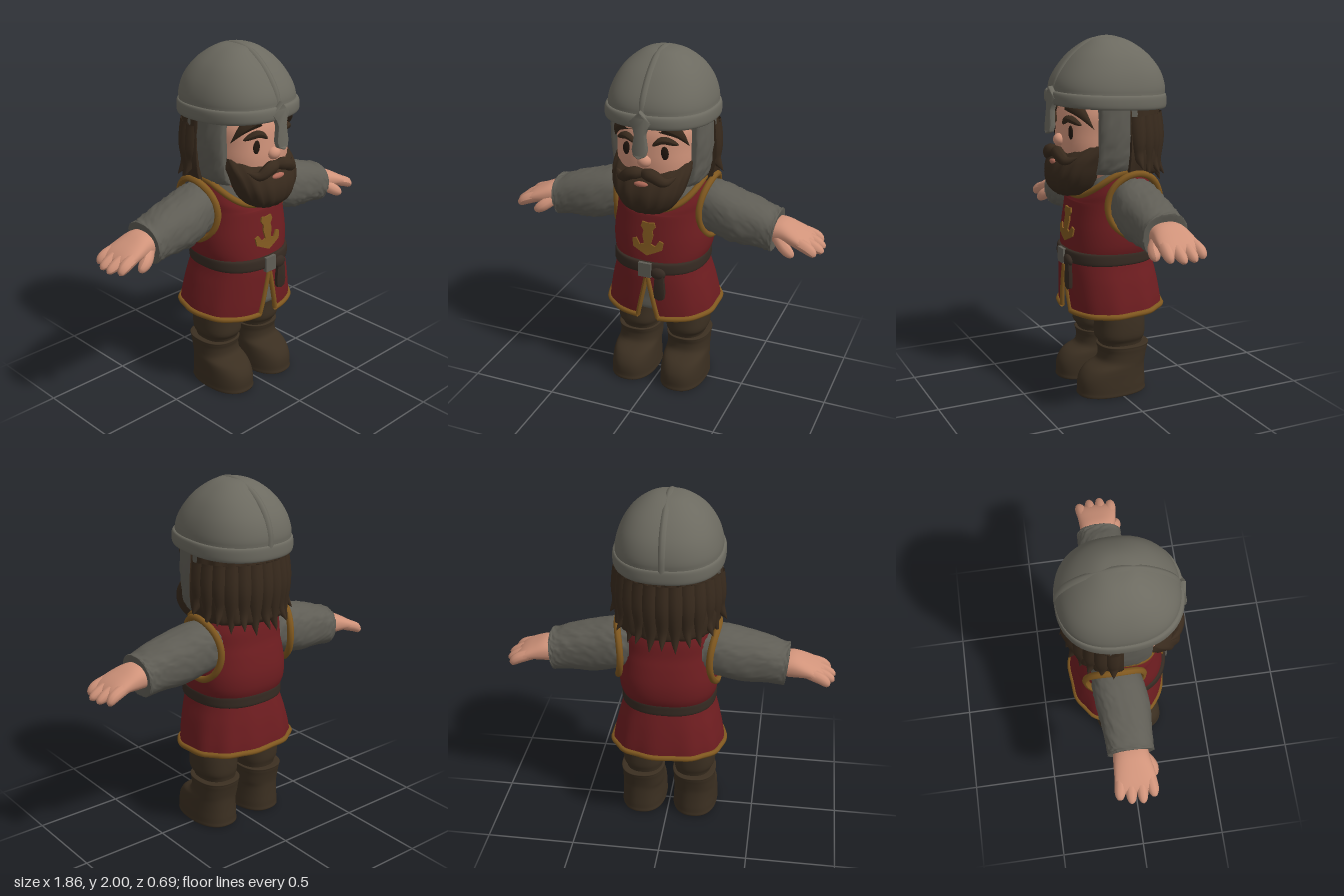
import * as THREE from 'three';
import { mergeVertices, toCreasedNormals } from 'three/addons/utils/BufferGeometryUtils.js';

const V = (x, y, z) => new THREE.Vector3(x, y, z);
const mat = (name, color) => Object.assign(new THREE.MeshStandardMaterial({ color, side: THREE.DoubleSide }), { name });

// Rounded-box cross-section point; angle 0 is the front, growing towards +x
function ring([y, cx, rx, zf, zb], a) {
  const s = Math.sin(a), c = Math.cos(a), e = 0.85;
  return V(cx + rx * Math.sign(s) * Math.abs(s) ** e, y,
    (zf + zb) / 2 + (zf - zb) / 2 * Math.sign(c) * Math.abs(c) ** e);
}

// Smooth skin over sections [height, centre x, half width, front z, back z, front gap angle]
function loft(rows, { n = 40, sub = 4, warp } = {}) {
  const fine = [], at = i => rows[Math.min(Math.max(i, 0), rows.length - 1)];
  for (let i = 0; i < rows.length - 1; i++) for (let k = 0; k < sub; k++) {
    const t = k / sub;
    fine.push(rows[i].map((p1, j) => {
      const p0 = at(i - 1)[j], p2 = at(i + 1)[j], p3 = at(i + 2)[j];
      return p1 + 0.5 * t * (p2 - p0 + t * (2 * p0 - 5 * p1 + 4 * p2 - p3 + t * (3 * (p1 - p2) + p3 - p0)));
    }));
  }
  fine.push(at(rows.length));
  const pos = [], idx = [];
  fine.forEach((r, i) => {
    const gap = r[5] || 0;
    for (let j = 0; j <= n; j++) {
      const a = gap + (2 * Math.PI - 2 * gap) * j / n, p = ring([r[0], r[1], Math.max(r[2], 0), r[3], r[4]], a);
      if (warp) warp(p, a);
      pos.push(p.x, p.y, p.z);
      if (i && j) {
        const d = i * (n + 1) + j, b = d - n - 1;
        idx.push(b - 1, b, d, b - 1, d, d - 1);
      }
    }
  });
  let g = new THREE.BufferGeometry();
  g.setAttribute('position', new THREE.Float32BufferAttribute(pos, 3));
  g.setIndex(idx);
  g = mergeVertices(g, 1e-5);
  g.computeVertexNormals();
  return g;
}

// Tube through points whose thickness follows a profile
function taper(pts, r, prof = u => Math.sin(Math.PI * u) ** 0.6) {
  const curve = new THREE.CatmullRomCurve3(pts.map(p => V(...p)));
  const g = new THREE.TubeGeometry(curve, 18, r, 10), p = g.attributes.position;
  for (let i = 0; i < p.count; i++) {
    const u = Math.floor(i / 11) / 18, c = curve.getPointAt(u);
    const v = V().fromBufferAttribute(p, i).sub(c).multiplyScalar(Math.max(prof(u), 0.001)).add(c);
    p.setXYZ(i, v.x, v.y, v.z);
  }
  g.computeVertexNormals();
  return g;
}
const cord = (pts, r, closed = false) =>
  new THREE.TubeGeometry(new THREE.CatmullRomCurve3(pts, closed), 90, r, 8, closed);
const ball = (x, y, z, rx, ry, rz) => new THREE.SphereGeometry(1, 20, 14).scale(rx, ry, rz).translate(x, y, z);

// Symmetric plate from one half outline, running top to bottom
function plate(half, depth, bevel = 0) {
  const pts = [...half, ...half.slice().reverse().map(([x, y]) => [-x, y])];
  const shape = new THREE.Shape(pts.map(([x, y]) => new THREE.Vector2(x, y)));
  return new THREE.ExtrudeGeometry(shape, { depth, bevelEnabled: bevel > 0, bevelSize: bevel, bevelThickness: bevel, bevelSegments: 2 });
}
function bend(g, f) {
  const p = g.attributes.position;
  for (let i = 0; i < p.count; i++) p.setZ(i, p.getZ(i) + f(p.getX(i), p.getY(i)));
  return toCreasedNormals(g, 0.6);
}
function mirror(g) {
  const m = g.clone().scale(-1, 1, 1), ix = m.index.array;
  for (let i = 0; i < ix.length; i += 3) [ix[i], ix[i + 1]] = [ix[i + 1], ix[i]];
  m.computeVertexNormals();
  return m;
}
// Small bumps for chain mail
function mailBumps(p) {
  const h = Math.sin(p.x * 127.1 + p.y * 311.7 + p.z * 74.7) * 437.5, k = (h - Math.floor(h) - 0.5) * 0.008;
  p.x += k; p.z += k;
}

export function createModel() {
  const root = new THREE.Group();
  root.name = 'bearded guard';
  const steel = mat('steel', 0x6c6a60), mail = mat('chain mail', 0x5f5d55), skin = mat('skin', 0xd0937a);
  const red = mat('red cloth', 0x6e1d20), gold = mat('gold trim', 0x80581f), hair = mat('hair', 0x382a1d);
  const leather = mat('boot leather', 0x3b2f21), strap = mat('belt leather', 0x352a22);
  const dark = mat('eye', 0x21170f), lip = mat('lip', 0xb06a58);
  const add = (name, g, m) => {
    const o = new THREE.Mesh(g, m);
    o.name = name;
    root.add(o);
  };
  const pair = (name, g, m) => { add(name + 'Left', g, m); add(name + 'Right', mirror(g), m); };

  // Legs and boots
  pair('boot', loft([[0, 0.155, 0, 0.02, 0.02], [0, 0.155, 0.12, 0.21, -0.16], [0.03, 0.155, 0.13, 0.225, -0.175],
    [0.1, 0.155, 0.128, 0.22, -0.172], [0.155, 0.155, 0.125, 0.18, -0.17], [0.19, 0.153, 0.122, 0.105, -0.172],
    [0.24, 0.153, 0.122, 0.092, -0.182], [0.275, 0.153, 0.125, 0.1, -0.19], [0.287, 0.153, 0.115, 0.09, -0.18],
    [0.285, 0.15, 0, -0.04, -0.04]]), leather);
  pair('trouserLeg', loft([[0.25, 0.145, 0.1, 0.08, -0.15], [0.3, 0.145, 0.108, 0.092, -0.16], [0.34, 0.15, 0.122, 0.115, -0.17],
    [0.42, 0.15, 0.122, 0.115, -0.172], [0.5, 0.145, 0.12, 0.12, -0.17], [0.6, 0.14, 0.12, 0.12, -0.17]]), leather);

  // Mail shirt showing at slit, hem and neck
  add('mailSkirt', loft([[0.53, 0, 0, 0, 0], [0.51, 0, 0.28, 0.2, -0.27], [0.6, 0, 0.27, 0.21, -0.27],
    [0.78, 0, 0.23, 0.21, -0.23]], { n: 72, warp: mailBumps }), mail);
  add('mailCollar', loft([[1.0, 0, 0.22, 0.17, -0.2], [1.15, 0, 0.235, 0.165, -0.2], [1.24, 0, 0.215, 0.15, -0.19],
    [1.31, 0, 0.17, 0.12, -0.16], [1.34, 0, 0, 0, 0]], { n: 72, warp: mailBumps }), mail);

  // Tunic: split skirt and body with a scooped neck
  const tilt = p => { p.y -= p.z * 0.05 * (0.8 - p.y) / 0.3; };
  const skirtRows = [[0.49, 0, 0.32, 0.235, -0.305, 0.14], [0.56, 0, 0.31, 0.24, -0.3, 0.1],
    [0.66, 0, 0.288, 0.242, -0.285, 0.045], [0.74, 0, 0.265, 0.242, -0.268, 0.004], [0.81, 0, 0.25, 0.235, -0.25, 0]];
  const folds = (p, a) => {
    const k = 1 + 0.014 * Math.sin(11 * a) * Math.sin(a / 2) * (0.81 - p.y) / 0.3;
    p.x *= k; p.z *= k; tilt(p);
  };
  add('tunicSkirt', loft(skirtRows, { n: 72, warp: folds }), red);
  const edge = (r, a) => { const p = ring(r, a); folds(p, a); return p; };
  const hem = [];
  for (let i = 0; i <= 44; i++) hem.push(edge(skirtRows[0], 0.14 + (2 * Math.PI - 0.28) * i / 44));
  add('hemTrim', cord(hem, 0.016), gold);
  pair('slitTrim', cord(skirtRows.slice(0, 4).map(r => edge(r, r[5] + 0.004)), 0.014), gold);

  const scoop = (p, a) => {
    p.y -= 0.15 * Math.max(0, Math.cos(a)) ** 1.5 * Math.max(0, (p.y - 1.1) / 0.18);
  };
  const bodyRows = [[0.79, 0, 0.25, 0.235, -0.25], [0.86, 0, 0.275, 0.232, -0.28], [0.95, 0, 0.28, 0.224, -0.285],
    [1.05, 0, 0.268, 0.21, -0.268], [1.12, 0, 0.262, 0.2, -0.25], [1.2, 0, 0.262, 0.192, -0.238], [1.28, 0, 0.238, 0.182, -0.215]];
  add('tunicBody', loft(bodyRows, { n: 56, warp: scoop }), red);
  const neck = [], hole = [];
  for (let i = 0; i < 36; i++) {
    const a = i * Math.PI / 18, p = ring(bodyRows[6], a);
    scoop(p, a);
    neck.push(p);
    hole.push(V(0.245 + 0.035 * Math.sin(a) ** 2, 1.1 + 0.175 * Math.sin(a), -0.07 + 0.16 * Math.cos(a)));
  }
  add('neckTrim', cord(neck, 0.018, true), gold);
  pair('armholeTrim', cord(hole, 0.019, true), gold);

  // Chest emblem
  add('chestEmblem', bend(plate([[0, 1.06], [0.035, 1.065], [0.043, 1.04], [0.026, 1.015], [0.032, 0.99], [0.02, 0.94],
    [0.045, 0.93], [0.068, 0.965], [0.092, 0.955], [0.085, 0.912], [0.045, 0.893], [0, 0.872]], 0.009),
  (x, y) => 0.232 - (y - 0.88) * 0.118 - x * x * 0.7), gold);

  // Belt, buckle and hanging end
  add('belt', loft([[0.765, 0, 0.25, 0.23, -0.25], [0.768, 0, 0.268, 0.252, -0.268], [0.8, 0, 0.27, 0.255, -0.27],
    [0.83, 0, 0.266, 0.25, -0.268], [0.833, 0, 0.25, 0.23, -0.25]], { n: 56 }), strap);
  add('buckle', new THREE.BoxGeometry(0.075, 0.085, 0.03).translate(-0.005, 0.79, 0.25), mail);
  add('beltKnot', ball(0.07, 0.775, 0.25, 0.045, 0.035, 0.022), strap);
  add('beltEnd', bend(plate([[0.02, 0.78], [0.03, 0.66], [0.024, 0.625], [0, 0.615]], 0.015, 0.004)
    .translate(0.08, 0, 0), (x, y) => 0.245), strap);

  // Arms: sections run along x, so centre is given as minus height
  const sleeve = loft([[0.2, -1.11, 0.13, 0.06, -0.19], [0.3, -1.1, 0.143, 0.085, -0.2], [0.42, -1.07, 0.143, 0.1, -0.188],
    [0.55, -1.05, 0.125, 0.092, -0.172], [0.63, -1.03, 0.113, 0.088, -0.165], [0.655, -1.027, 0.113, 0.088, -0.165],
    [0.66, -1.027, 0.1, 0.075, -0.15], [0.645, -1.027, 0, -0.04, -0.04]],
  { n: 60, sub: 5, warp: p => { mailBumps(p); p.y -= (p.x + 1.03) * 0.12 * Math.max(0, p.y - 0.3) * 2.5; } });
  pair('sleeve', sleeve.rotateZ(-Math.PI / 2), mail);
  pair('palm', loft([[0.6, -1.03, 0.06, 0.05, -0.13], [0.69, -1.033, 0.065, 0.06, -0.14], [0.77, -1.02, 0.048, 0.075, -0.145],
    [0.83, -1.0, 0.036, 0.078, -0.148], [0.865, -0.985, 0.02, 0.06, -0.13], [0.87, -0.985, 0, -0.03, -0.03]]).rotateZ(-Math.PI / 2), skin);
  const blunt = u => Math.min(1, Math.sqrt(Math.max(0, 1 - u * u * u * u)));
  [[0.055, 0.9], [-0.005, 0.93], [-0.065, 0.925], [-0.125, 0.895]].forEach(([z, x], i) =>
    pair('finger' + (i + 1), taper([[0.78, 1.015, z * 0.85 - 0.005], [0.86, 0.985, z], [x, 0.952, z * 1.05]], 0.033, blunt), skin));
  pair('thumb', taper([[0.68, 1.01, 0.025], [0.73, 0.975, 0.065], [0.785, 0.937, 0.08]], 0.035, blunt), skin);

  // Head and face
  add('head', loft([[1.18, 0, 0, 0.05, 0.05], [1.2, 0, 0.13, 0.15, -0.12], [1.3, 0, 0.2, 0.245, -0.18], [1.4, 0, 0.225, 0.265, -0.2],
    [1.5, 0, 0.23, 0.263, -0.22], [1.6, 0, 0.235, 0.25, -0.23], [1.7, 0, 0.2, 0.2, -0.2]]), skin);
  add('nose', ball(0, 1.445, 0.265, 0.04, 0.035, 0.035), skin);
  pair('eye', ball(0.105, 1.495, 0.244, 0.026, 0.038, 0.009).rotateY(0), dark);
  pair('eyebrow', taper([[0.045, 1.535, 0.265], [0.1, 1.57, 0.255], [0.175, 1.54, 0.21]], 0.02), hair);
  add('beard', loft([[1.135, 0, 0, 0.24, 0.24], [1.145, 0, 0.09, 0.28, 0.13], [1.19, 0, 0.15, 0.318, 0.08], [1.26, 0, 0.192, 0.328, 0.06],
    [1.33, 0, 0.212, 0.305, 0.04], [1.38, 0, 0.222, 0.262, 0.02], [1.43, 0, 0.22, 0.2, 0.02]], {
    n: 56, warp: (p, a) => { const k = 1 + 0.015 * Math.sin(a * 14); p.x *= k; p.z *= k; },
  }), hair);
  add('lip', ball(0, 1.325, 0.302, 0.045, 0.016, 0.015), lip);
  pair('moustache', taper([[-0.005, 1.385, 0.285], [0.06, 1.38, 0.298], [0.12, 1.345, 0.28], [0.175, 1.37, 0.235]], 0.036,
    u => Math.min(1, 0.6 + 2 * u) * (1 - u ** 3)), hair);
  pair('fringe', taper([[0.1, 1.65, 0.235], [0.17, 1.6, 0.205], [0.215, 1.52, 0.155]], 0.05, u => 1 - u), hair);

  // Mail coif with a flat front edge
  add('coif', loft([[1.27, 0, 0.23, 0.2, -0.2], [1.31, 0, 0.262, 0.22, -0.24], [1.4, 0, 0.278, 0.23, -0.25],
    [1.52, 0, 0.286, 0.24, -0.26], [1.66, 0, 0.28, 0.24, -0.26]],
  { n: 80, warp: p => { mailBumps(p); p.z = Math.min(p.z, 0.13); } }), mail);

  // Hair: rippled mass plus flicked locks
  add('hairBack', loft([[1.24, 0, 0, -0.1, -0.1], [1.25, 0, 0.24, 0.2, -0.28], [1.32, 0, 0.285, 0.24, -0.3], [1.45, 0, 0.295, 0.25, -0.29],
    [1.66, 0, 0.28, 0.25, -0.28]], {
    n: 80, warp: (p, a) => {
      const k = 1 + 0.02 * Math.sin(a * 18);
      p.x *= k; p.z = Math.min(p.z * k, -0.025);
    },
  }), hair);
  for (let i = 0; i < 13; i++) {
    const a = (100 + i * 160 / 12) * Math.PI / 180, s = Math.sin(a), c = Math.cos(a), back = -c;
    const odd = i % 2, end = 1.32 - 0.1 * Math.max(0, back) - 0.03 * odd;
    const at = (k, y) => [0.285 * s * k, y, -0.03 + 0.27 * c * k];
    add('hairLock' + (i + 1), taper([at(0.88, 1.58), at(0.95, 1.45), at(0.98, end + 0.08), at(odd ? 1.08 : 1.15, end)], 0.058,
      u => (1 - u ** 2.5) * 0.95), hair);
  }

  // Helmet: dome, rim, crest ridge and nose guard
  const lean = p => { p.y += p.z * 0.05 * Math.max(0, 2 - p.y) / 0.35; };
  add('helmetDome', loft([[1.66, 0, 0, 0, 0], [1.65, 0, 0.27, 0.28, -0.3], [1.7, 0, 0.287, 0.3, -0.333], [1.76, 0, 0.279, 0.288, -0.33],
    [1.83, 0, 0.252, 0.248, -0.3], [1.9, 0, 0.205, 0.19, -0.24], [1.955, 0, 0.14, 0.12, -0.165], [1.985, 0, 0.075, 0.06, -0.095],
    [1.993, 0, 0, -0.015, -0.015]], { n: 56, warp: lean }), steel);
  add('helmetRim', loft([[1.64, 0, 0.25, 0.26, -0.29], [1.622, 0, 0.285, 0.3, -0.325], [1.632, 0, 0.3, 0.318, -0.34], [1.67, 0, 0.302, 0.32, -0.342],
    [1.695, 0, 0.296, 0.312, -0.338], [1.7, 0, 0.28, 0.295, -0.325]], { n: 56, warp: lean }), steel);
  add('helmetRidge', cord([V(0, 1.68, 0.29), V(0, 1.77, 0.27), V(0, 1.84, 0.228), V(0, 1.905, 0.165), V(0, 1.955, 0.09), V(0, 1.977, -0.015),
    V(0, 1.95, -0.13), V(0, 1.9, -0.22), V(0, 1.83, -0.283), V(0, 1.75, -0.315), V(0, 1.67, -0.32)], 0.023), steel);
  add('noseGuard', bend(plate([[0, 1.73], [0.028, 1.7], [0.055, 1.675], [0.035, 1.645], [0.024, 1.61], [0.036, 1.53],
    [0.028, 1.5], [0, 1.488]], 0.02, 0.006), (x, y) => 0.322 - (y - 1.5) * 0.08 - Math.abs(x) * 0.25), steel);
  return root;
}
